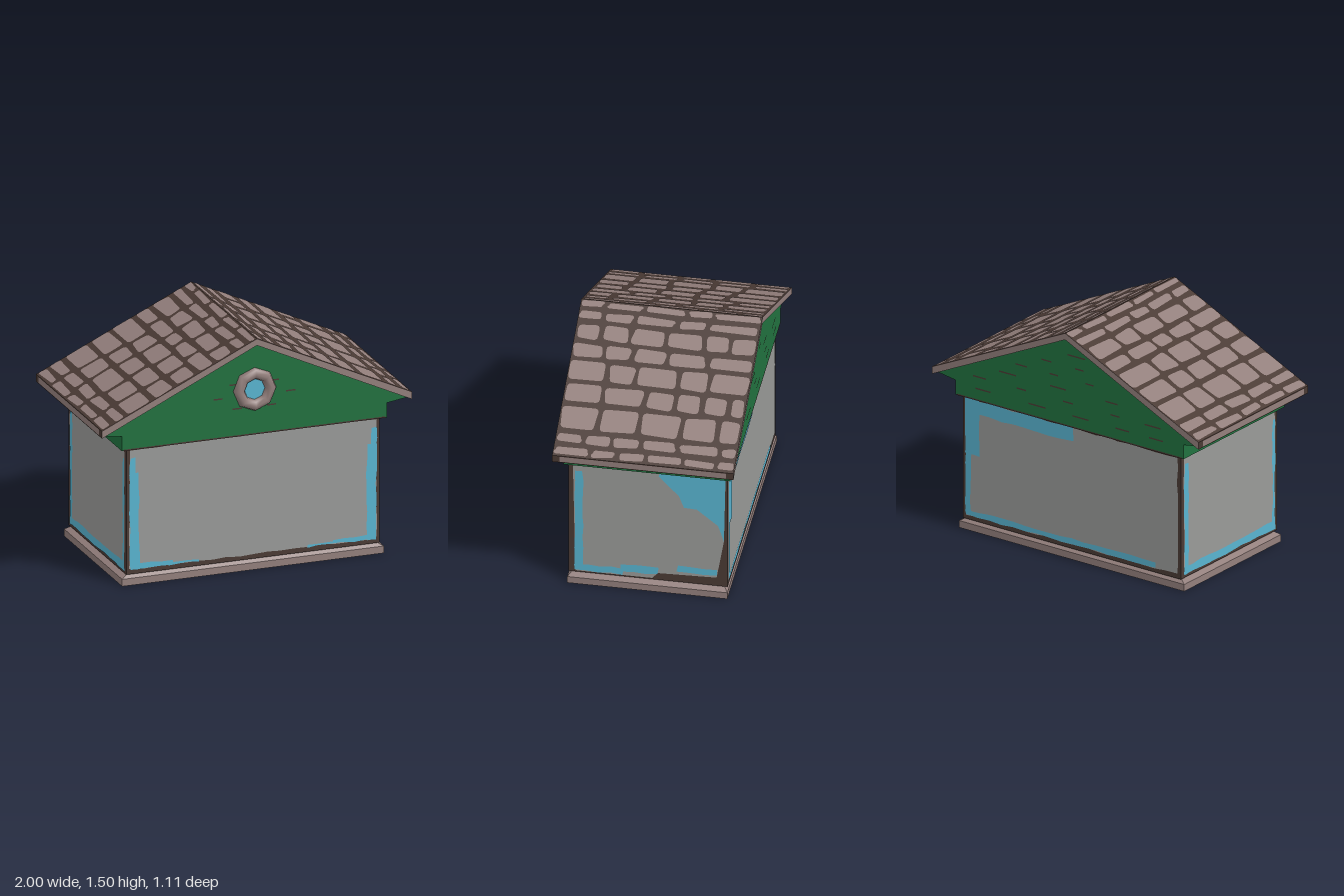
import * as THREE from 'three';
import { mergeGeometries } from 'three/addons/utils/BufferGeometryUtils.js';

const mat = (name, color) => Object.assign(new THREE.MeshStandardMaterial({ color }), { name });
const shapeOf = (pts) => new THREE.Shape(pts.map(([x, y]) => new THREE.Vector2(x, y)));
const roofY = (x) => 1.497 - 0.465 * Math.abs(x);

export function createModel() {
  const model = new THREE.Group();
  const green = mat('green paint', 0x21713f);
  const grey = mat('grey plaster', 0x999a98);
  const blue = mat('blue paint', 0x59b4d0);
  const stone = mat('mauve stone', 0x937f7c);
  const brown = mat('dark brown', 0x4a3a34);

  let seed = 7;
  const rand = () => (seed = (seed * 16807) % 2147483647) / 2147483647;
  const wobble = (a) => (rand() - 0.5) * a;

  const add = (name, geo, material, parent = model) => {
    const mesh = new THREE.Mesh(geo, material);
    mesh.name = name;
    parent.add(mesh);
    return mesh;
  };
  // Extrusion of a front profile, centred on z = 0
  const prism = (pts, depth) =>
    new THREE.ExtrudeGeometry(shapeOf(pts), { depth, bevelEnabled: false }).translate(0, 0, -depth / 2);
  // Right half of a profile followed by its mirror image
  const mirrored = (half) => [...half, ...half.map(([x, y]) => [-x, y]).reverse()];

  // Plinth: straight slab with a chamfered upper edge, dark underneath
  const slab = new THREE.BoxGeometry(1.69, 0.045, 0.98).translate(0, 0.0225, 0);
  add('plinth', slab, [stone, stone, stone, brown, stone, stone]);
  const chamfer = new THREE.BoxGeometry(1.69, 0.03, 0.98).translate(0, 0.06, 0);
  const cp = chamfer.attributes.position;
  for (let i = 0; i < cp.count; i++) {
    if (cp.getY(i) > 0.06) cp.setXYZ(i, Math.sign(cp.getX(i)) * 0.79, 0.075, Math.sign(cp.getZ(i)) * 0.455);
  }
  chamfer.computeVertexNormals();
  add('plinthChamfer', chamfer, stone);

  // Wall body, showing as the dark frame around the plaster
  add('wallFrame', new THREE.BoxGeometry(1.635, 0.81, 0.974).translate(0, 0.475, 0), brown);

  // Outline with corners (x0, y0) and (x1, y1) and gently uneven edges
  const ragged = (x0, y0, x1, y1) => {
    const corners = [[x0, y0], [x1, y0], [x1, y1], [x0, y1]];
    return corners.flatMap(([ax, ay], k) => {
      const [bx, by] = corners[(k + 1) % 4];
      const n = Math.ceil(Math.hypot(bx - ax, by - ay) / 0.09);
      return Array.from({ length: n }, (_, i) =>
        [ax + ((bx - ax) * i) / n + wobble(0.012), ay + ((by - ay) * i) / n + wobble(0.012)]);
    });
  };
  // Plaster sheet with worn blue patches, laid out in the wall's own x and y
  const addWall = (name, turn, out, plaster, patches) => {
    const wall = new THREE.Group();
    wall.name = name;
    wall.rotation.y = turn;
    model.add(wall);
    add('plaster', new THREE.ShapeGeometry(shapeOf(plaster)).translate(0, 0, out + 0.002), grey, wall);
    const worn = patches.map((p) => new THREE.ShapeGeometry(shapeOf(p)));
    add('bluePatches', mergeGeometries(worn).translate(0, 0, out + 0.004), blue, wall);
  };
  addWall('frontWall', 0, 0.487, ragged(-0.795, 0.1, 0.795, 0.865), [
    ragged(-0.795, 0.1, -0.735, 0.71), ragged(-0.795, 0.68, -0.765, 0.81), ragged(-0.795, 0.1, -0.52, 0.13),
    ragged(-0.55, 0.1, -0.35, 0.115), ragged(0.735, 0.1, 0.795, 0.71), ragged(0.765, 0.68, 0.795, 0.81),
    ragged(0.52, 0.1, 0.795, 0.13), ragged(0.35, 0.1, 0.55, 0.115),
  ]);
  addWall('rightWall', Math.PI / 2, 0.8175,
    [[-0.445, 0.08], [0.025, 0.08], [0.06, 0.12], [0.42, 0.13], [0.465, 0.4], [0.475, 0.87], [-0.46, 0.87]], [
      ragged(-0.45, 0.085, -0.4, 0.815), ragged(-0.45, 0.085, -0.15, 0.13), ragged(-0.17, 0.11, 0.06, 0.16),
      ragged(0.18, 0.145, 0.42, 0.19),
      [[0.08, 0.87], [0.065, 0.83], [0.19, 0.7], [0.22, 0.62], [0.3, 0.615], [0.43, 0.51], [0.465, 0.4], [0.475, 0.87]],
    ]);
  addWall('backWall', Math.PI, 0.487, ragged(-0.795, 0.1, 0.795, 0.86), [
    ragged(-0.795, 0.1, -0.755, 0.86), ragged(-0.795, 0.5, -0.69, 0.86), ragged(-0.795, 0.77, 0.01, 0.86),
    ragged(-0.795, 0.1, 0.63, 0.135),
  ]);
  addWall('leftWall', -Math.PI / 2, 0.8175, ragged(-0.455, 0.09, 0.46, 0.865), [
    ragged(-0.455, 0.09, -0.415, 0.81), ragged(-0.455, 0.09, 0.46, 0.14), ragged(0.435, 0.09, 0.46, 0.8),
  ]);

  // Gable block, stepping out to the eaves
  const gableHalf = [[0.855, 0.872], [0.855, 0.965], [0.99, 0.985], [0.98, 1.0], [0.001, 1.46]];
  add('gable', prism(mirrored(gableHalf), 1.02), green);

  // Dark cracks between the gable boards
  const addCracks = (name, list, turn) => {
    const bars = list.map(([x, y, w]) => new THREE.PlaneGeometry(w, 0.009).translate(x, y, 0.512));
    add(name, mergeGeometries(bars), brown).rotation.y = turn;
  };
  const base = [0, 0.876, 1.69];
  addCracks('frontCracks', [base, ...mirrored([[0.235, 1.125, 0.03], [0.13, 1.205, 0.07], [0.11, 1.05, 0.06]])
    .map(([x, y]) => [x, y, 0.06])], 0);
  const backList = [base];
  for (let row = 0; row < 6; row++) {
    const y = 0.95 + row * 0.078;
    const half = Math.min(0.8, (1.43 - y) / 0.47 - 0.08);
    for (let x = -half + 0.1 * rand(); x < half - 0.12; x += 0.25 + 0.2 * rand()) {
      const w = 0.06 + 0.08 * rand();
      backList.push([x + w / 2, y, w]);
    }
  }
  addCracks('backCracks', backList, Math.PI);

  // Round window with a thick eight-sided rim
  add('windowRim', new THREE.TorusGeometry(0.102, 0.036, 8, 8).translate(0, 1.163, 0.515), stone);
  add('windowGlass', new THREE.CircleGeometry(0.1, 8).translate(0, 1.163, 0.514), blue);

  // Roof sheet: pale ends, dark top and underside, pale strip along each eave
  add('roof', prism([[-1, 0.985], [0, 1.455], [1, 0.985], [1, 1.032], [0, 1.497], [-1, 1.032]], 1.11), [stone, brown]);
  for (const s of [-1, 1]) {
    const strip = new THREE.PlaneGeometry(1.02, 0.036).rotateY((s * Math.PI) / 2);
    add('eaveStrip', strip.translate(s * 1.001, 1.009, 0), stone);
  }

  // Roof stones: irregular rounded slabs laid in courses along each slope
  const stones = [];
  const addStone = (x0, x1, z0, z1) => {
    const r = Math.min(0.025, (x1 - x0) * 0.3);
    const corners = [[x0, z0, 1, 1], [x1, z0, -1, 1], [x1, z1, -1, -1], [x0, z1, 1, -1]]
      .map(([x, z, i, j]) => [x + i * rand() * 0.012, z + wobble(0.014), i, j]);
    const shape = new THREE.Shape();
    corners.forEach(([x, z, i, j], k) => {
      const alongX = [x + i * r, z], alongZ = [x, z + j * r];
      const [a, b] = k % 2 ? [alongX, alongZ] : [alongZ, alongX];
      if (k) shape.lineTo(...a); else shape.moveTo(...a);
      shape.quadraticCurveTo(x, z, ...b);
    });
    const geo = new THREE.ShapeGeometry(shape, 3);
    const p = geo.attributes.position;
    for (let i = 0; i < p.count; i++) p.setXYZ(i, p.getX(i), roofY(p.getX(i)) + 0.003, -p.getY(i));
    geo.computeVertexNormals();
    stones.push(geo);
  };
  const widths = [0.046, 0.06, 0.105, 0.09, 0.125, 0.12, 0.15, 0.07, 0.056];
  for (const s of [-1, 1]) {
    let x = 0.004;
    for (const w of widths) {
      for (let z = -0.545; z < 0.5;) {
        let end = z + 0.13 + 0.1 * rand();
        if (end > 0.45) end = 0.545;
        addStone(s > 0 ? x : -x - w, s > 0 ? x + w : -x, z, end);
        z = end + 0.03;
      }
      x += w + 0.021;
    }
  }
  add('roofStones', mergeGeometries(stones), stone);

  return model;
}
